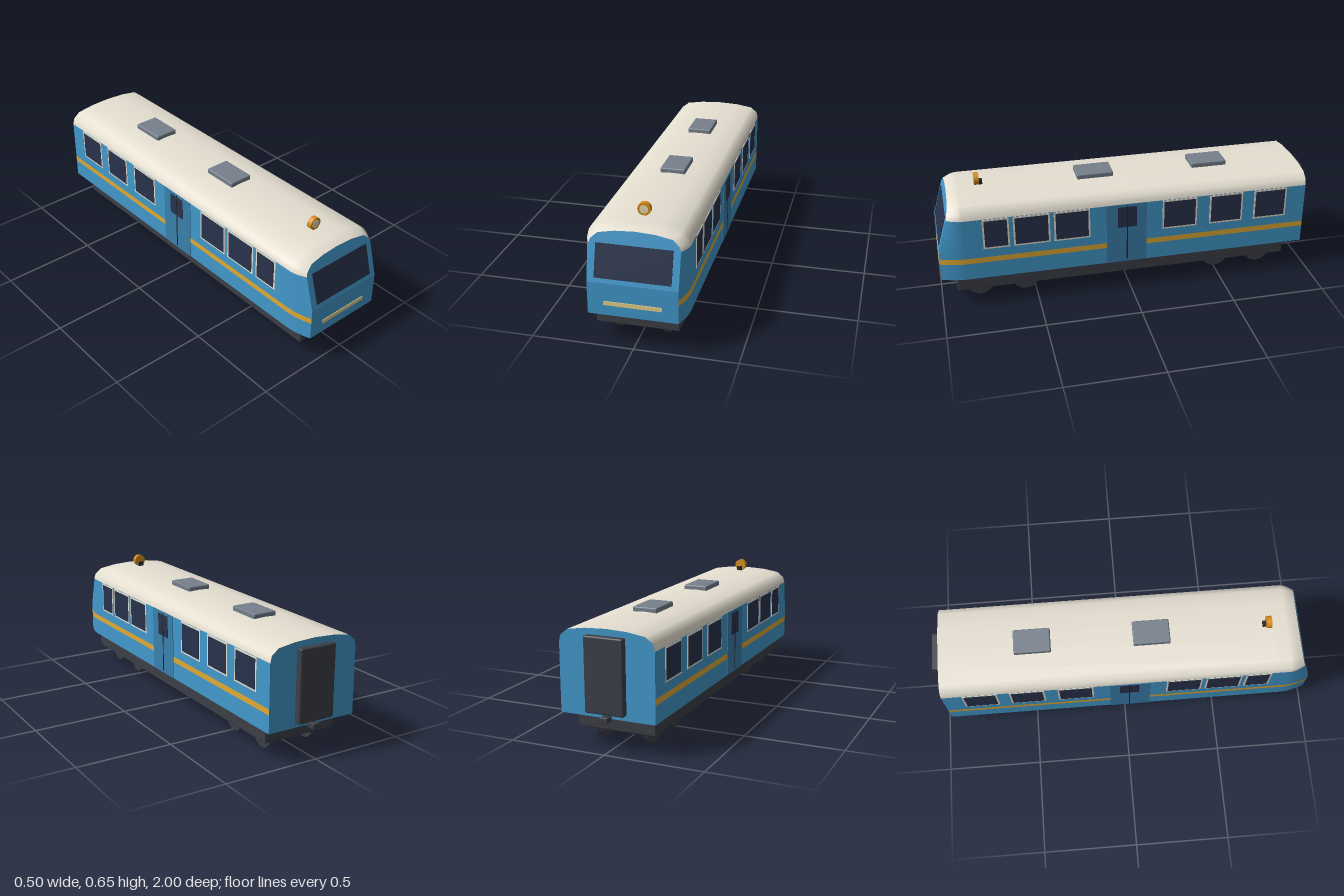
import * as THREE from 'three';
import { RoundedBoxGeometry } from 'three/addons/geometries/RoundedBoxGeometry.js';

const material = (color, side = THREE.FrontSide) => new THREE.MeshStandardMaterial({ color, side });

const HALF = 0.245, NOSE_START = 0.865, REAR = -0.96;
const WAIST = 0.33, SLOPE = 0.285;

// Front face leans back above the waist
const frontZ = (y) => 0.996 - Math.max(0, y - WAIST) * SLOPE;

// Point of the body skin: t = 0 at the front face, 1 where the nose ends
function nosePoint([x, y], t) {
  const s = Math.sin((t * Math.PI) / 2);
  const drop = y > 0.506 ? 0.015 * (1 - s) : 0;
  const yy = y - drop;
  return [x * (0.885 + 0.115 * s), yy, THREE.MathUtils.lerp(frontZ(yy), NOSE_START, t)];
}

// Surface through a grid of points
function sheet(rows, flat = false) {
  const n = rows[0].length, index = [];
  for (let i = 0; i < rows.length - 1; i++) {
    for (let j = 0; j < n - 1; j++) {
      const a = i * n + j, b = a + n;
      index.push(a, b, a + 1, b, b + 1, a + 1);
    }
  }
  let g = new THREE.BufferGeometry();
  g.setAttribute('position', new THREE.Float32BufferAttribute(rows.flat(2), 3));
  g.setIndex(index);
  if (flat) g = g.toNonIndexed();
  g.computeVertexNormals();
  return g;
}

// Sweeps part of the cross-section from the nose to the rear
function skinRows(profile) {
  const rows = [0, 0.15, 0.3, 0.5, 0.75, 1].map((t) => profile.map((p) => nosePoint(p, t)));
  for (const z of [0.8, REAR]) rows.push(profile.map(([x, y]) => [x, y, z]));
  return rows;
}

const mirrored = (points) => points.map(([x, y]) => [-x, y]).reverse();

export function createModel() {
  const model = new THREE.Group();
  model.name = 'railcar';

  const blue = material(0x4299cc), doorBlue = material(0x3a80ad), cream = material(0xe6e0d2);
  const yellow = material(0xe2ab34), paleYellow = material(0xe8d28c), glass = material(0x28324c);
  const dark = material(0x3c3f47), black = material(0x22242a), grey = material(0x76808c);
  const orange = material(0xd9901f), lens = material(0xe9dcae);

  function add(name, geometry, mat, x = 0, y = 0, z = 0, parent = model) {
    const mesh = new THREE.Mesh(geometry, mat);
    mesh.name = name;
    mesh.position.set(x, y, z);
    parent.add(mesh);
    return mesh;
  }
  const box = (w, h, d) => new THREE.BoxGeometry(w, h, d);
  const rounded = (w, h, d, r) => new RoundedBoxGeometry(w, h, d, 2, r);

  // Body sides in bands, with the waist stripe between
  const bands = [
    ['lowerSide', blue, [[HALF, 0.165], [HALF, 0.257]]],
    ['waistStripe', yellow, [[HALF, 0.257], [HALF, 0.287]]],
    ['upperSide', blue, [[HALF, 0.287], [HALF, WAIST], [HALF, 0.42], [HALF, 0.506]]],
  ];
  for (const [name, mat, points] of bands) {
    add(name + 'Left', sheet(skinRows(points)), mat);
    add(name + 'Right', sheet(skinRows(mirrored(points))), mat);
  }

  // Curved roof
  const roofHalf = [[HALF, 0.506], [0.237, 0.54], [0.2, 0.569], [0.11, 0.583], [0, 0.588]];
  add('roof', sheet(skinRows([...roofHalf, ...mirrored(roofHalf).slice(1)])), cream);

  // End walls and floor
  const outline = [[HALF, 0.165], [HALF, WAIST], ...roofHalf];
  const front = outline.map((p) => {
    const [x, y, z] = nosePoint(p, 0);
    return [[x, y, z], [-x, y, z]];
  });
  add('frontWall', sheet(front, true), blue);
  add('rearWall', sheet(outline.map(([x, y]) => [[-x, y, REAR], [x, y, REAR]]), true), blue);
  add('floor', sheet(skinRows([[-HALF, 0.165], [HALF, 0.165]])), blue);

  // Windscreen lies on the leaning part of the front
  const windscreen = add('windscreen', box(0.366, 0.163, 0.006), glass, 0, 0.43, frontZ(0.43));
  windscreen.rotation.x = -Math.atan(SLOPE);
  add('frontStripe', box(0.278, 0.021, 0.006), paleYellow, 0, 0.228, 0.996);

  // Side windows and doors, both sides
  const windows = [[0.77, 0.635], [0.614, 0.426], [0.405, 0.217],
    [-0.169, -0.357], [-0.426, -0.609], [-0.673, -0.855]];
  for (const side of [1, -1]) {
    const label = side > 0 ? 'Left' : 'Right';
    for (const [z0, z1] of windows) {
      const z = (z0 + z1) / 2, w = z0 - z1;
      add('windowFrame' + label, box(0.004, 0.168, w), cream, side * HALF, 0.42, z);
      add('windowPane' + label, box(0.006, 0.15, w - 0.018), glass, side * HALF, 0.42, z);
    }
    const door = new THREE.Group();
    door.name = 'door' + label;
    model.add(door);
    add('doorPanel', box(0.006, 0.341, 0.214), doorBlue, side * HALF, 0.3365, 0.024, door);
    add('doorWindow', box(0.008, 0.118, 0.102), glass, side * HALF, 0.433, 0.021, door);
    add('doorSeam', box(0.01, 0.32, 0.006), black, side * HALF, 0.34, 0.021, door);
  }

  // Underframe, bogies and wheels
  add('underframe', rounded(0.406, 0.092, 1.793, 0.006), dark, 0, 0.121, 0.022);
  const wheelShape = new THREE.CylinderGeometry(0.07, 0.07, 0.029, 28).rotateZ(Math.PI / 2);
  const hubShape = new THREE.CylinderGeometry(0.02, 0.02, 0.04, 16).rotateZ(Math.PI / 2);
  for (const [name, centre, axles] of [['frontBogie', 0.675, [0.797, 0.553]],
    ['rearBogie', -0.631, [-0.508, -0.754]]]) {
    const bogie = new THREE.Group();
    bogie.name = name;
    model.add(bogie);
    add('bogieFrame', rounded(0.34, 0.03, 0.425, 0.005), dark, 0, 0.076, centre, bogie);
    for (const z of axles) {
      for (const side of [1, -1]) {
        add('wheel', wheelShape, dark, side * 0.123, 0.07, z, bogie);
        add('wheelHub', hubShape, grey, side * 0.125, 0.07, z, bogie);
      }
    }
  }

  // Rear gangway and coupler
  add('gangway', rounded(0.2, 0.366, 0.038, 0.008), dark, 0, 0.373, -0.976);
  add('coupler', rounded(0.04, 0.03, 0.05, 0.004), dark, 0, 0.165, -0.975);

  // Roof vents
  for (const z of [0.152, -0.47]) add('roofVent', rounded(0.13, 0.04, 0.193, 0.007), grey, 0, 0.59, z);

  // Roof headlamp
  const lamp = new THREE.Group();
  lamp.name = 'headlamp';
  model.add(lamp);
  const disc = (r, d) => new THREE.CylinderGeometry(r, r, d, 28).rotateX(Math.PI / 2);
  add('lampBracket', box(0.026, 0.03, 0.04), black, 0, 0.596, 0.757, lamp);
  add('lampHousing', disc(0.032, 0.026), orange, 0, 0.618, 0.767, lamp);
  add('lampLens', disc(0.021, 0.004), lens, 0, 0.618, 0.78, lamp);

  return model;
}
